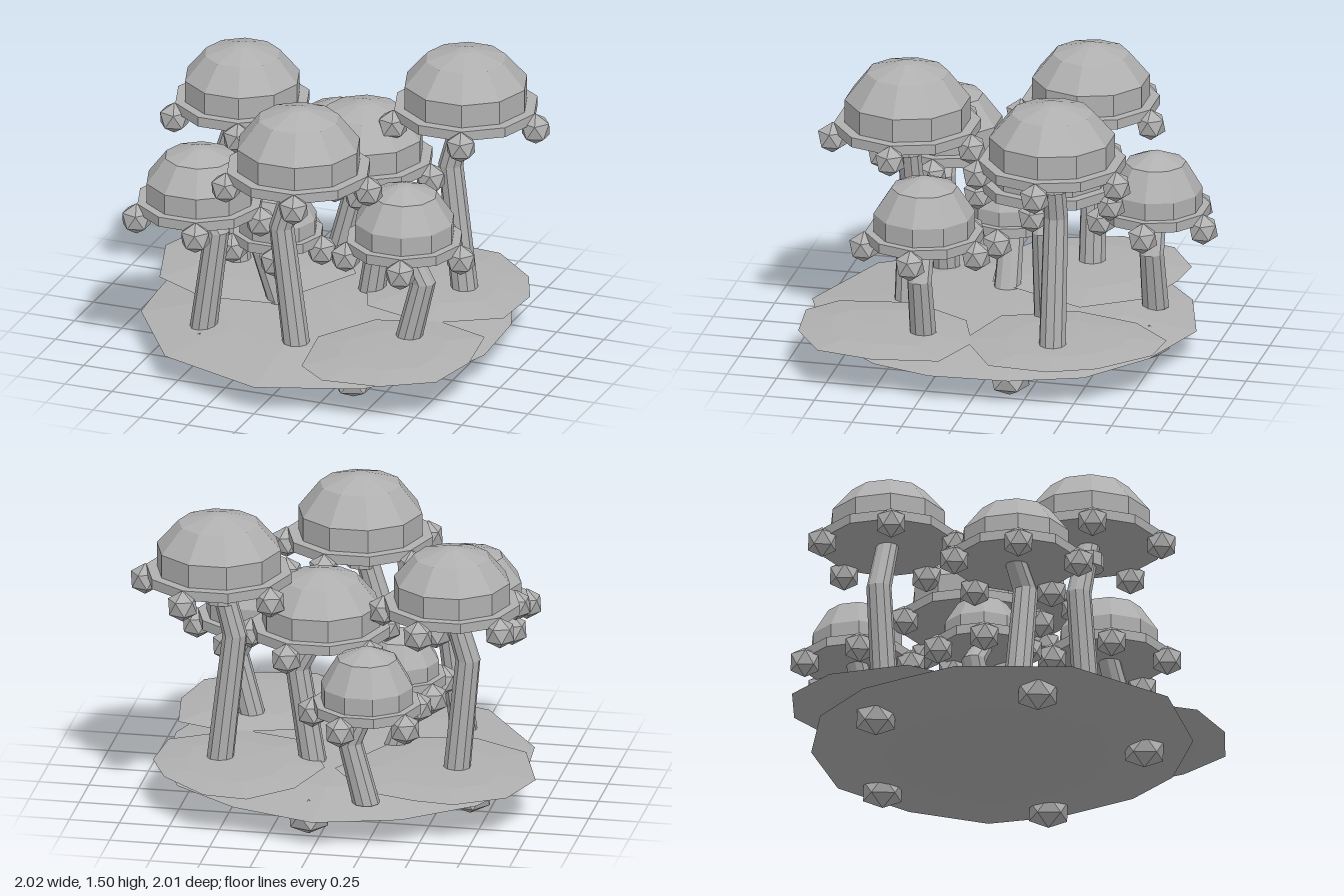
import * as THREE from 'three';

const stone = new THREE.MeshStandardMaterial({ color: 0xb0b0b0, flatShading: true });
stone.name = 'plain grey';

function addMesh(parent, name, geometry, x = 0, y = 0, z = 0) {
  const mesh = new THREE.Mesh(geometry, stone);
  mesh.name = name;
  mesh.position.set(x, y, z);
  parent.add(mesh);
  return mesh;
}

// Thin faceted lens over an outline of [x, z] points (anticlockwise from above)
function lens(outline, rimY, topY, bottomY) {
  const n = outline.length;
  const cx = outline.reduce((s, p) => s + p[0], 0) / n;
  const cz = outline.reduce((s, p) => s + p[1], 0) / n;
  const ring = (scale, y) => outline.map(([x, z]) => [cx + (x - cx) * scale, y, cz + (z - cz) * scale]);
  const mix = (a, b, t) => a + (b - a) * t;
  const rings = [
    ring(0, bottomY), ring(0.6, mix(rimY, bottomY, 0.8)), ring(1, rimY),
    ring(0.6, mix(rimY, topY, 0.8)), ring(0, topY),
  ];
  const positions = rings.flat(2);
  const index = [];
  for (let r = 0; r < rings.length - 1; r++) {
    for (let i = 0; i < n; i++) {
      const j = (i + 1) % n;
      const a = r * n + i, b = r * n + j, c = a + n, d = b + n;
      if (r > 0) index.push(a, b, c);
      else index.push(a, d, c);
      if (r > 0 && r < 3) index.push(b, d, c);
    }
  }
  const geometry = new THREE.BufferGeometry();
  geometry.setAttribute('position', new THREE.Float32BufferAttribute(positions, 3));
  geometry.setIndex(index);
  geometry.computeVertexNormals();
  return geometry;
}

// Icosahedron standing on a vertex
function bead(radius) {
  return new THREE.IcosahedronGeometry(radius, 0).rotateZ(-0.5536);
}

// Stalk with one kink: a cylinder whose rings are shifted sideways
function stalk(radius, baseX, kinkX, kinkY, topX, topY) {
  const baseY = 0.17;
  const g = new THREE.CylinderGeometry(radius * 0.88, radius * 1.08, 1, 10, 2);
  const p = g.attributes.position;
  for (let i = 0; i < p.count; i++) {
    const level = Math.round((p.getY(i) + 0.5) * 2);
    p.setXY(i, p.getX(i) + [baseX, kinkX, topX][level], [baseY, kinkY, topY][level]);
  }
  g.computeVertexNormals();
  return g;
}

// Cap with wide brim, upright band and faceted dome
function cap(R, brimY, topY) {
  const bandY = brimY + 0.05;
  const domeY = bandY + R * 0.38;
  const h = topY - domeY;
  const profile = [
    [0, brimY], [R * 1.17, brimY], [R * 1.17, bandY], [R, bandY], [R, domeY],
    [R * 0.65, domeY + h * 0.72], [R * 0.14, domeY + h * 0.98], [0, topY],
  ].map(([x, y]) => new THREE.Vector2(x, y));
  return new THREE.LatheGeometry(profile, 10).rotateY(Math.PI / 10);
}

const mushrooms = [
  { x: -0.57, z: -0.27, R: 0.29, brim: 1.05, top: 1.38, base: -0.59, kink: [-0.65, 0.8] },
  { x: 0.095, z: -0.22, R: 0.295, brim: 0.87, top: 1.2, base: 0.13, kink: [0.21, 0.68] },
  { x: 0.58, z: -0.35, R: 0.31, brim: 1.165, top: 1.505, base: 0.58, kink: [0.5, 0.88], collar: true },
  { x: -0.225, z: -0.68, R: 0.23, brim: 0.65, top: 0.98, base: -0.22, kink: [-0.14, 0.48] },
  { x: -0.245, z: 0.07, R: 0.195, brim: 0.53, top: 0.81, base: -0.22, kink: [-0.32, 0.45] },
  { x: -0.51, z: 0.44, R: 0.27, brim: 0.8, top: 1.125, base: -0.49, kink: [-0.42, 0.69] },
  { x: 0.04, z: 0.51, R: 0.31, brim: 1.085, top: 1.445, base: 0.03, kink: [-0.05, 0.8], collar: true },
  { x: 0.52, z: 0.31, R: 0.25, brim: 0.705, top: 1.035, base: 0.53, kink: [0.62, 0.53] },
];

function createMushroom(m) {
  const group = new THREE.Group();
  group.name = 'mushroom';
  group.position.set(m.x, 0, m.z);
  addMesh(group, 'cap', cap(m.R, m.brim, m.top));
  addMesh(group, 'stalk', stalk(0.063, m.base - m.x, m.kink[0] - m.x, m.kink[1], 0, m.brim + 0.02));
  if (m.collar) {
    addMesh(group, 'collar', new THREE.CylinderGeometry(0.08, 0.08, 0.07, 10), -0.01, m.brim - 0.085, 0);
  }
  // Five beads hanging from the brim
  for (let k = 0; k < 5; k++) {
    const a = (k * Math.PI * 2) / 5;
    const d = m.R * 1.19;
    addMesh(group, 'brimBead', bead(0.08), Math.cos(a) * d, m.brim - 0.027, Math.sin(a) * d);
  }
  return group;
}

export function createModel() {
  const model = new THREE.Group();
  model.name = 'mushroomCluster';

  // Main rocky base
  addMesh(model, 'base', lens([
    [0.9, 0.2], [0.88, -0.2], [0.75, -0.55], [0.42, -0.8], [0, -0.94], [-0.42, -0.82], [-0.75, -0.55],
    [-0.9, -0.2], [-0.89, 0.06], [-0.87, 0.32], [-0.55, 0.8], [0, 1], [0.5, 0.82], [0.8, 0.5],
  ], 0.14, 0.21, 0.06));

  // Overlapping thin slabs on top
  const slabs = {
    leftBackSlab: [[0, -0.35], [-0.2, -0.65], [-0.47, -0.735], [-0.67, -0.755], [-0.91, -0.61],
      [-1, -0.33], [-0.88, 0.05], [-0.6, 0.2], [-0.25, 0.15]],
    rightBackSlab: [[0.88, -0.1], [0.9, -0.4], [0.8, -0.63], [0.56, -0.85], [0.34, -0.87], [0.14, -0.67],
      [0.05, -0.35], [0.2, 0], [0.55, 0.1]],
    rightFrontSlab: [[0.93, 0.48], [0.88, 0.15], [0.6, 0.05], [0.3, 0.15], [0.12, 0.45], [0.18, 0.82],
      [0.34, 0.95], [0.63, 0.92], [0.87, 0.765]],
  };
  for (const [name, outline] of Object.entries(slabs)) {
    addMesh(model, name, lens(outline, 0.213, 0.238, 0.18));
  }

  // Five squashed feet under the base
  for (let k = 0; k < 5; k++) {
    const a = -0.23 + (k * Math.PI * 2) / 5;
    const foot = addMesh(model, 'foot', bead(0.11), Math.cos(a) * 0.72, 0.088, Math.sin(a) * 0.72);
    foot.scale.y = 0.8;
  }

  mushrooms.forEach((m) => model.add(createMushroom(m)));
  return model;
}
